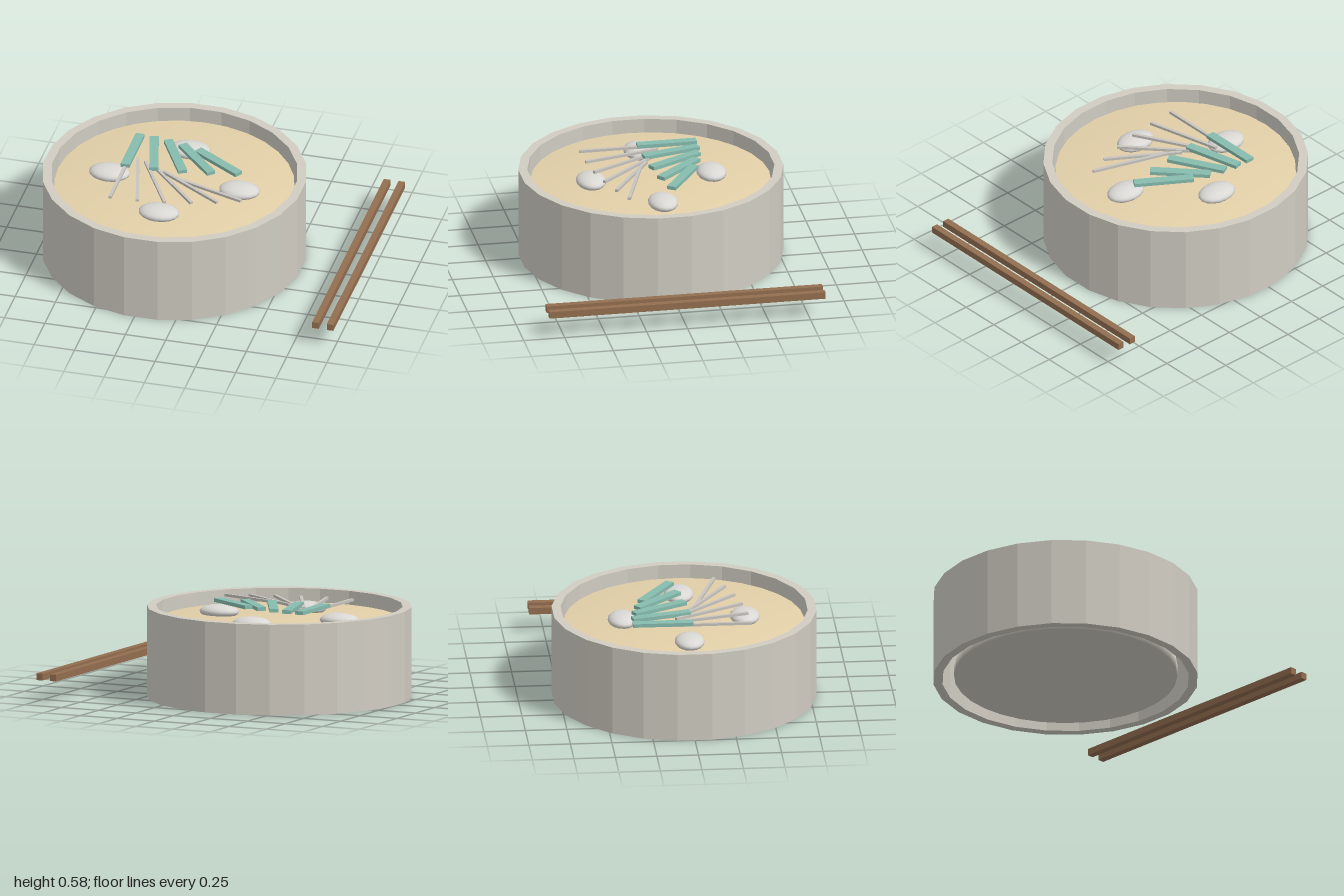
import * as THREE from 'three';
import { mergeVertices } from 'three/addons/utils/BufferGeometryUtils.js';

const BOWL_X = -0.21;

const flat = (name, color, extra = {}) =>
  Object.assign(new THREE.MeshStandardMaterial({ color, ...extra }), { name });

// Disc whose rim and caps share soft, welded normals
function softDisc(radius, height) {
  const g = new THREE.CylinderGeometry(radius, radius, height, 32);
  g.deleteAttribute('normal');
  g.deleteAttribute('uv');
  const welded = mergeVertices(g);
  welded.computeVertexNormals();
  return welded;
}

export function createModel() {
  const ceramic = flat('ceramic grey', 0xd0ccc2, { flatShading: true });
  const base = flat('base grey', 0xd0ccc2);
  const broth = flat('broth tan', 0xe2d0a8);
  const egg = flat('egg white', 0xdad8d4);
  const sprout = flat('sprout grey', 0xc8c4be);
  const leaf = flat('leaf teal', 0x86bcae);
  const wood = flat('wood brown', 0x936e50);

  const model = new THREE.Group();
  model.name = 'noodleBowl';
  const add = (name, geometry, material, x, y, z, turn = 0) => {
    const mesh = new THREE.Mesh(geometry, material);
    mesh.name = name;
    mesh.position.set(x, y, z);
    mesh.rotation.y = turn;
    model.add(mesh);
    return mesh;
  };

  // Faceted bowl wall, open at top and bottom
  const wall = [[0.796, 0], [0.796, 0.55], [0.742, 0.55], [0.742, 0], [0.796, 0]]
    .map(([r, y]) => new THREE.Vector2(r, y));
  add('bowlWall', new THREE.LatheGeometry(wall, 24, Math.PI / 24), ceramic, BOWL_X, 0, 0);

  // Bowl floor and broth
  add('bowlFloor', softDisc(0.67, 0.08), base, BOWL_X, 0.06, 0);
  add('broth', softDisc(0.722, 0.06), broth, BOWL_X, 0.44, 0);

  // Four flattened egg pieces around the bowl
  const eggShape = new THREE.SphereGeometry(1, 16, 12).scale(0.125, 0.042, 0.09);
  for (const [x, z] of [[0.403, 0], [-0.403, 0], [0, 0.365], [0, -0.37]]) {
    add('eggPiece', eggShape, egg, BOWL_X + x, 0.49, z);
  }

  // Fan of leaf strips
  const strip = new THREE.BoxGeometry(0.055, 0.022, 0.362);
  for (let i = 0; i < 5; i++) {
    add('leafStrip', strip, leaf, -0.51 + 0.133 * i, 0.568, -0.152, 0.25 * i);
  }

  // Fan of thin sprouts
  const stalk = new THREE.BoxGeometry(0.019, 0.016, 0.475);
  for (let i = 0; i < 6; i++) {
    add('sprout', stalk, sprout, -0.51 + 0.109 * i, 0.556, 0.144, 0.25 * i);
  }

  // Pair of chopsticks
  const stick = new THREE.BoxGeometry(0.041, 0.041, 1.685);
  for (const x of [0.887, 0.978]) add('chopstick', stick, wood, x, 0.15, 0);

  return model;
}
